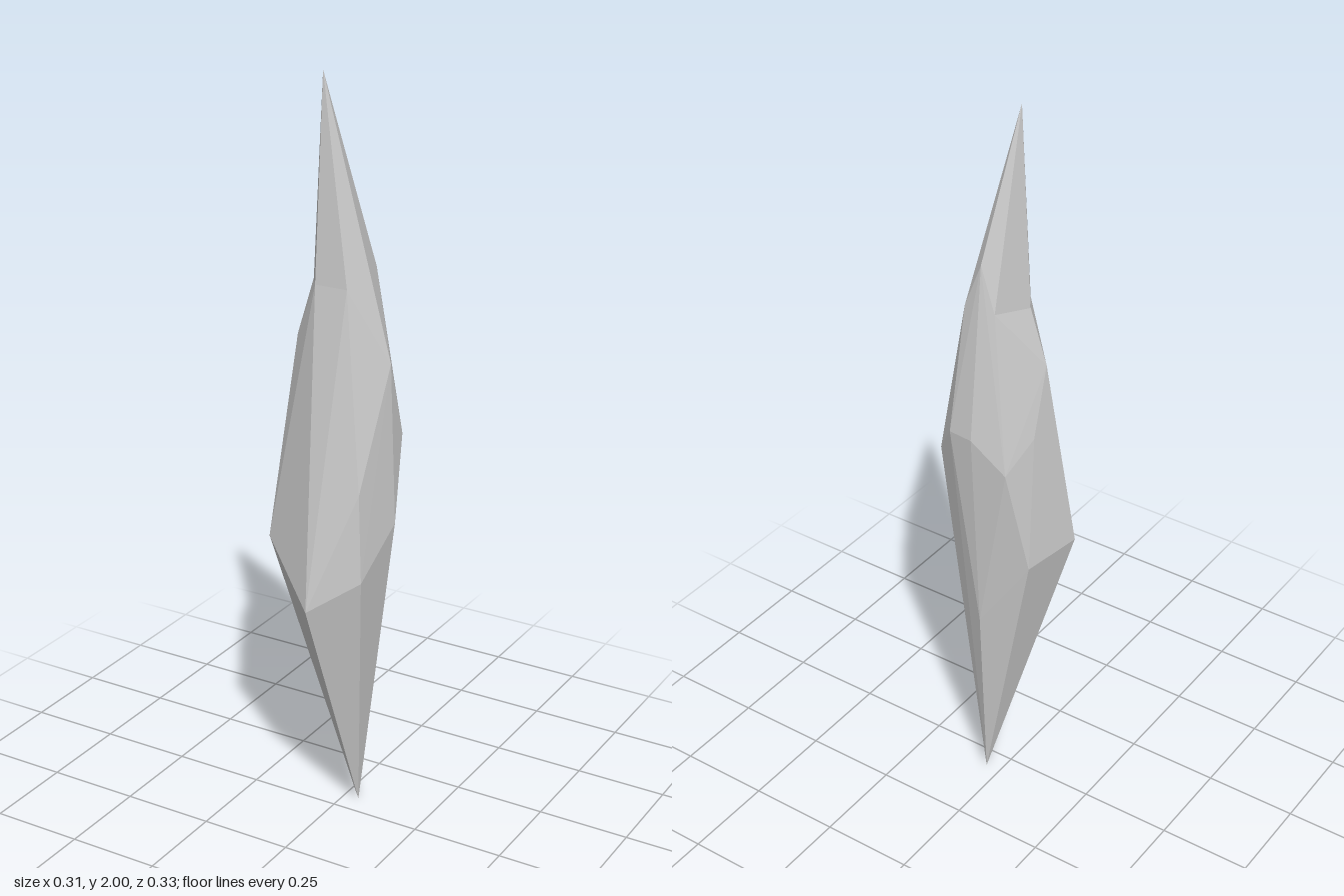
import * as THREE from 'three';
import { ConvexGeometry } from 'three/addons/geometries/ConvexGeometry.js';

const vec = (p) => new THREE.Vector3(...p);
const key = (v) => v.toArray().map((n) => n.toFixed(3)).join(',');

const apex = vec([-0.03, 2, 0]);

// Corners where the slim tip meets the body
const shoulder = [
  [-0.03, 1.48, 0.04], [0.06, 1.48, 0.04], [0.14, 1.28, -0.04], [0.055, 1.5, -0.115],
  [0.01, 1.62, -0.11], [-0.03, 1.5, -0.112], [-0.062, 1.48, -0.007],
].map(vec);

// Corners of the body, down to the bottom point
const body = [
  [-0.105, 1.33, 0], [-0.11, 1.15, -0.06],
  [0.132, 1.07, -0.118], [0.073, 1.16, -0.16], [0.005, 1.16, -0.167], [-0.087, 1.08, -0.152],
  [0.125, 0.97, 0.09], [0.152, 0.85, -0.048], [-0.123, 0.78, -0.1], [-0.155, 0.79, 0.065],
  [0.132, 0.73, 0.09], [0.012, 0.65, 0.163], [0.01, 0.58, -0.13],
  [0.043, 0, -0.058],
].map(vec);

function facetGeometry(triangles) {
  const geometry = new THREE.BufferGeometry().setFromPoints(triangles.flat());
  geometry.computeVertexNormals();
  return geometry;
}

export function createModel() {
  const group = new THREE.Group();
  group.name = 'crystalShard';
  const material = new THREE.MeshStandardMaterial({ color: 0xcccccc, flatShading: true });

  // Split the faceted hull into side facets and the cap under the tip
  const position = new ConvexGeometry([...shoulder, ...body]).getAttribute('position');
  const rim = new Set(shoulder.map(key));
  const sides = [];
  const cap = [];
  for (let i = 0; i < position.count; i += 3) {
    const tri = [0, 1, 2].map((k) => new THREE.Vector3().fromBufferAttribute(position, i + k));
    const plane = new THREE.Plane().setFromCoplanarPoints(...tri);
    const underTip = tri.every((v) => rim.has(key(v))) && plane.distanceToPoint(apex) > 0;
    (underTip ? cap : sides).push(tri);
  }

  // Replace the cap by facets rising from its outline to the apex
  const edges = new Map();
  for (const tri of cap) {
    tri.forEach((a, k) => {
      const b = tri[(k + 1) % 3];
      edges.set(key(a) + '|' + key(b), [a, b]);
    });
  }
  const tip = [];
  for (const [a, b] of edges.values()) {
    if (!edges.has(key(b) + '|' + key(a))) tip.push([a, b, apex]);
  }

  for (const [name, triangles] of [['shardBody', sides], ['shardTip', tip]]) {
    const mesh = new THREE.Mesh(facetGeometry(triangles), material);
    mesh.name = name;
    group.add(mesh);
  }
  return group;
}
